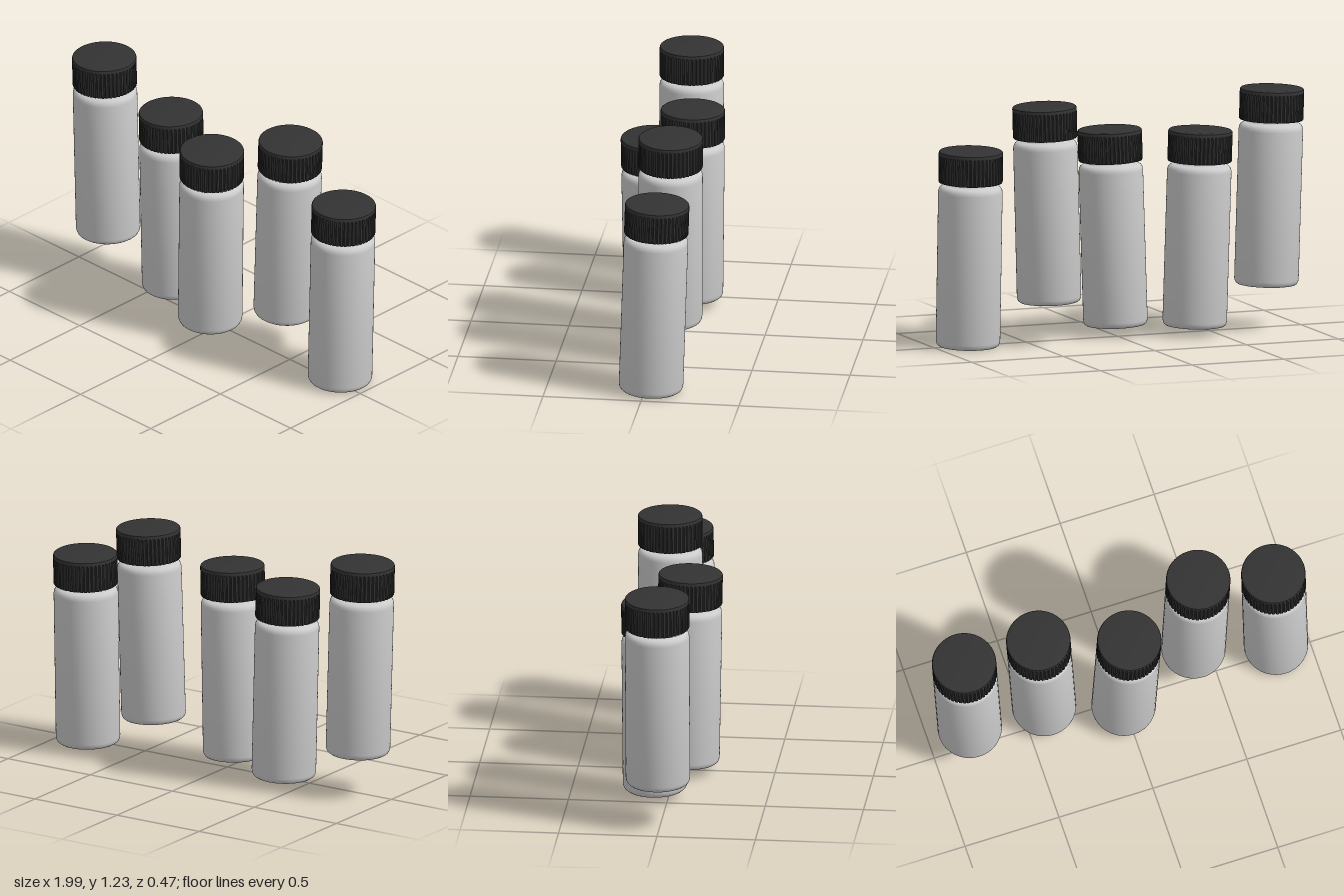
import * as THREE from 'three';
import { toCreasedNormals } from 'three/addons/utils/BufferGeometryUtils.js';

const RADIUS = 0.163;
const HEIGHT = 1.004;
const RIDGES = 48;
const points = (list) => list.map(([r, y]) => new THREE.Vector2(r, y));

// Bottle: rounded base, straight wall, rounded shoulder and narrow neck
function bottleGeometry() {
  const profile = points([
    [0, 0], [0.138, 0], [0.148, 0.002], [0.156, 0.008], [0.161, 0.018], [RADIUS, 0.03],
    [RADIUS, 0.792], [0.161, 0.805], [0.155, 0.816], [0.146, 0.823], [0.134, 0.826],
    [0.122, 0.828], [0.115, 0.832], [0.112, 0.838], [0.112, 0.9], [0, 0.9],
  ]);
  return toCreasedNormals(new THREE.LatheGeometry(profile, 64), 0.7);
}

// Screw cap: a lathe whose side wall is pushed in between the grip ridges
function capGeometry() {
  const profile = points([
    [0, 0.842], [0.152, 0.842], [0.16, 0.843], [RADIUS, 0.848], [RADIUS, 0.976],
    [RADIUS, 0.983], [RADIUS, 0.992], [0.161, 0.999], [0.156, 1.003], [0.15, HEIGHT], [0, HEIGHT],
  ]);
  const perRidge = 4;
  const geometry = new THREE.LatheGeometry(profile, RIDGES * perRidge);
  const pos = geometry.attributes.position;
  for (let i = 0; i < pos.count; i++) {
    const segment = Math.floor(i / profile.length);
    const row = i % profile.length;
    const groove = segment % perRidge === 0;
    if (groove && row >= 2 && row <= 4) {
      const k = 1 - 0.006 / RADIUS;
      pos.setX(i, pos.getX(i) * k);
      pos.setZ(i, pos.getZ(i) * k);
    }
  }
  return toCreasedNormals(geometry, 0.5);
}

export function createModel() {
  const model = new THREE.Group();
  model.name = 'bottleRow';
  const bodyMaterial = new THREE.MeshStandardMaterial({ color: 0xcccccc });
  const capMaterial = new THREE.MeshStandardMaterial({ color: 0x333333 });
  const bodyShape = bottleGeometry();
  const capShape = capGeometry();

  // Base centre (x, y, z) and the sideways lean of the top (dx, dz)
  const placements = [
    [-0.805, 0.23, -0.014, -0.031, -0.002],
    [-0.391, 0.05, -0.07, -0.03, -0.006],
    [-0.011, 0.058, 0.056, 0.027, 0.014],
    [0.402, 0.22, -0.069, 0.029, -0.007],
    [0.829, 0.012, -0.028, -0.004, -0.032],
  ];
  const up = new THREE.Vector3(0, 1, 0);
  placements.forEach(([x, y, z, dx, dz], i) => {
    const bottle = new THREE.Group();
    bottle.name = `bottle${i + 1}`;
    const body = new THREE.Mesh(bodyShape, bodyMaterial);
    body.name = 'body';
    const cap = new THREE.Mesh(capShape, capMaterial);
    cap.name = 'cap';
    bottle.add(body, cap);
    bottle.position.set(x, y, z);
    bottle.quaternion.setFromUnitVectors(up, new THREE.Vector3(dx, HEIGHT, dz).normalize());
    model.add(bottle);
  });
  return model;
}
